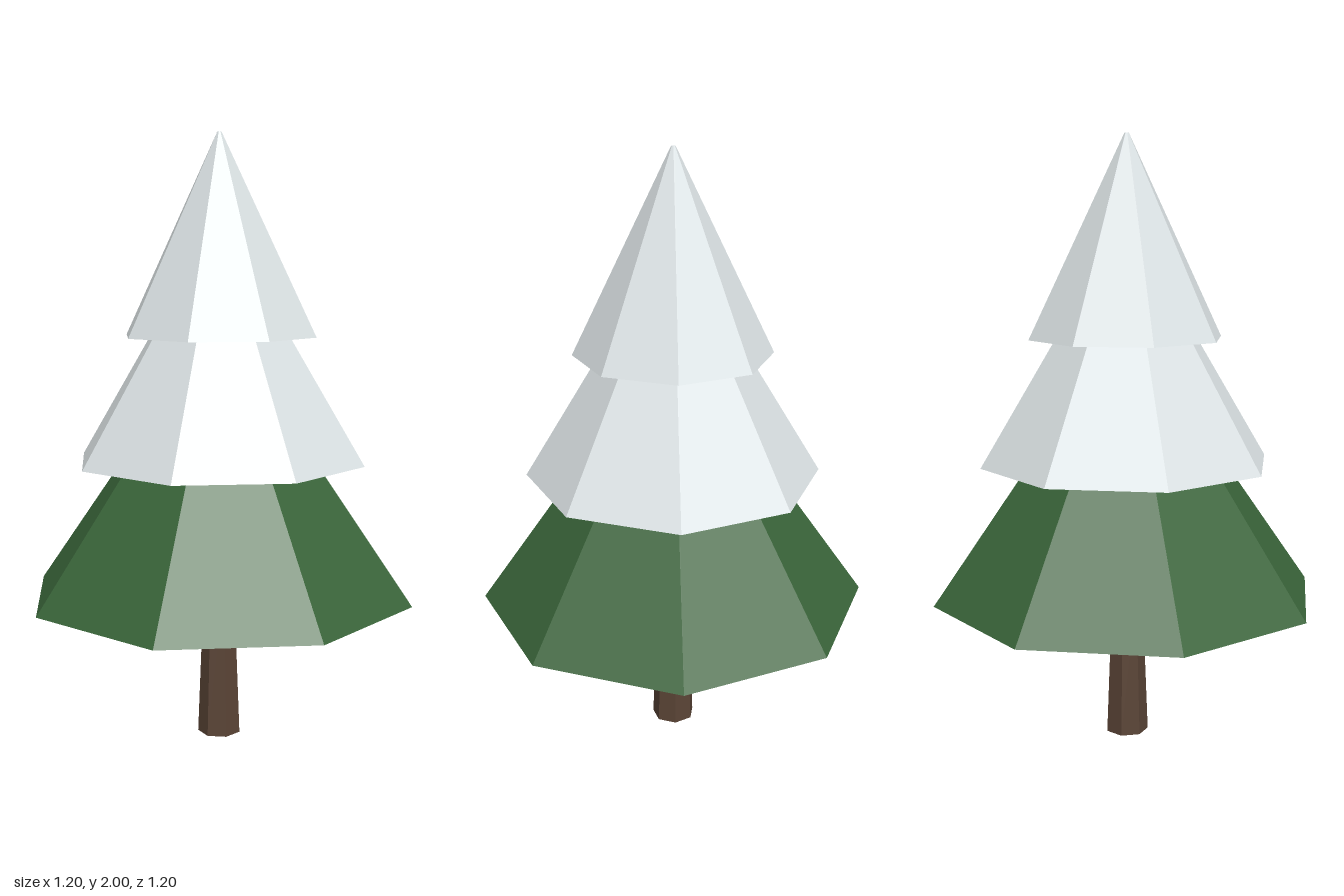
import * as THREE from 'three';

export function createModel() {
  const tree = new THREE.Group();
  tree.name = 'pineTree';

  const material = (name, color) => {
    const m = new THREE.MeshStandardMaterial({ color, flatShading: true });
    m.name = name;
    return m;
  };
  const bark = material('bark', 0x5a4436);
  const needles = material('needles', 0x3a653a);
  const snow = material('snow', 0xdce3e5);

  const add = (name, geometry, mat, y) => {
    const mesh = new THREE.Mesh(geometry, mat);
    mesh.name = name;
    mesh.position.y = y;
    tree.add(mesh);
  };

  // Seven-sided tapering trunk with one corner towards -x
  const trunk = new THREE.CylinderGeometry(0.053, 0.073, 0.5, 7);
  trunk.rotateY(-Math.PI / 2);
  add('trunk', trunk, bark, 0.25);

  // Eight-sided foliage tiers, flat sides facing the axes; each tip hides in the tier above
  const tiers = [
    { name: 'lowerFoliage', base: 0.49, halfWidth: 0.6, height: 0.91, mat: needles },
    { name: 'middleFoliage', base: 0.94, halfWidth: 0.45, height: 0.79, mat: snow },
    { name: 'topFoliage', base: 1.35, halfWidth: 0.3, height: 0.65, mat: snow },
  ];
  for (const { name, base, halfWidth, height, mat } of tiers) {
    const radius = halfWidth / Math.cos(Math.PI / 8);
    const tier = new THREE.CylinderGeometry(0.007, radius, height, 8);
    tier.rotateY(Math.PI / 8);
    add(name, tier, mat, base + height / 2);
  }

  return tree;
}
